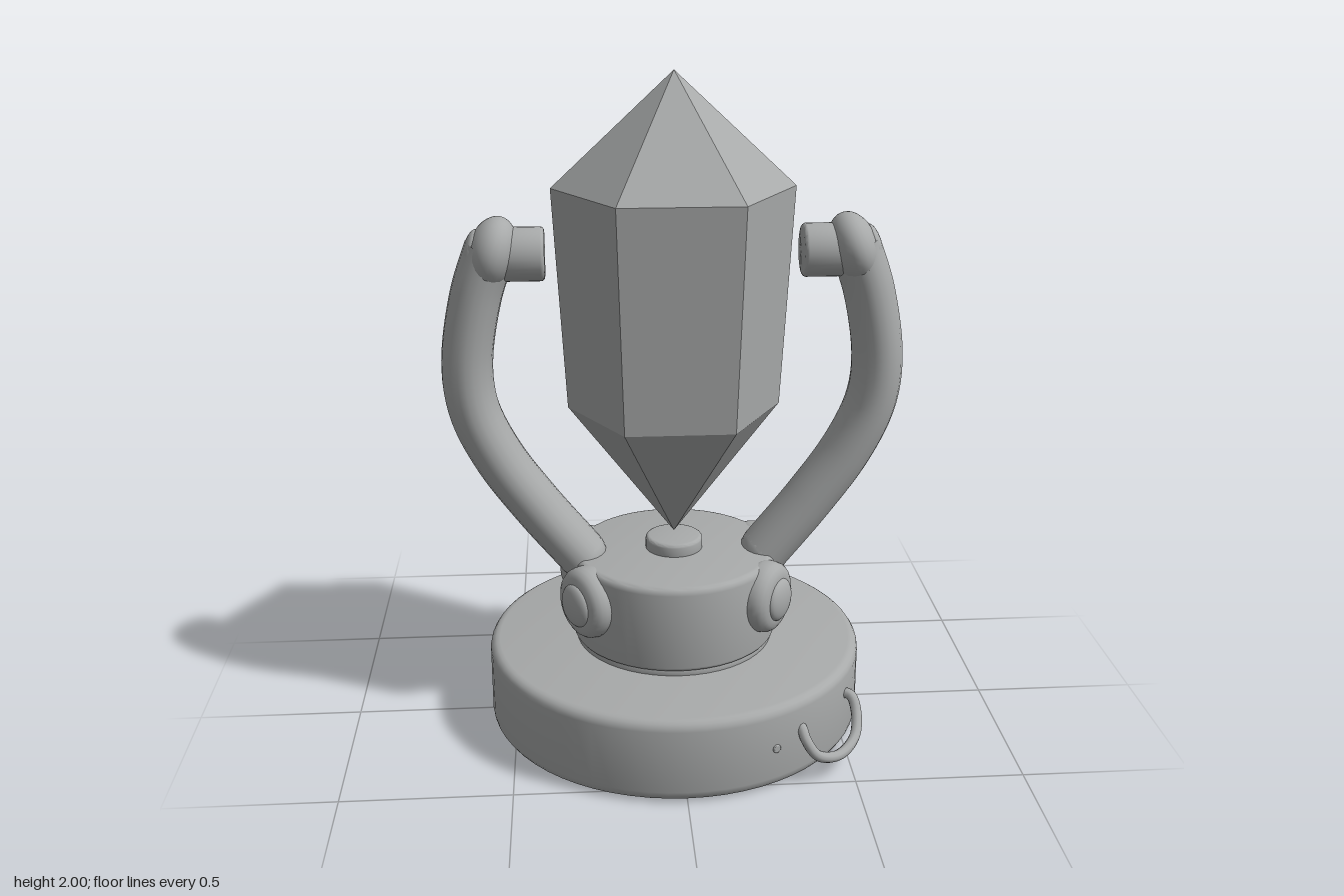
import * as THREE from 'three';
import { toCreasedNormals } from 'three/addons/utils/BufferGeometryUtils.js';

export function createModel() {
  const model = new THREE.Group();
  const grey = new THREE.MeshStandardMaterial({ color: 0xa8aaaa });
  grey.name = 'grey';

  const add = (parent, name, geometry) => {
    const mesh = new THREE.Mesh(geometry, grey);
    mesh.name = name;
    parent.add(mesh);
    return mesh;
  };

  const lathe = (points, segments = 48, crease = 0.6) => toCreasedNormals(
    new THREE.LatheGeometry(points.map(([r, y]) => new THREE.Vector2(r, y)), segments), crease);

  // Solid disc standing on y = 0 with rounded rims
  const disc = (r, h, top, bottom = top, segments = 48) => {
    const points = [[0, 0]];
    for (let i = 0; i <= 4; i++) {
      const a = (i / 4) * Math.PI / 2;
      points.push([r - bottom + bottom * Math.sin(a), bottom - bottom * Math.cos(a)]);
    }
    for (let i = 0; i <= 4; i++) {
      const a = (i / 4) * Math.PI / 2;
      points.push([r - top + top * Math.cos(a), h - top + top * Math.sin(a)]);
    }
    points.push([0, h]);
    return lathe(points, segments);
  };

  // Stacked base
  add(model, 'base', disc(0.578, 0.26, 0.03, 0.035, 64));
  add(model, 'baseSeam', disc(0.305, 0.03, 0.004)).position.y = 0.25;
  add(model, 'drum', disc(0.315, 0.27, 0.022, 0.012)).position.y = 0.277;
  add(model, 'topButton', disc(0.088, 0.05, 0.012)).position.y = 0.537;

  // Six-sided crystal with a corner on each side
  const crystal = new THREE.LatheGeometry(
    [[0, 0.6], [0.318, 1.01], [0.355, 1.67], [0, 2]].map(([r, y]) => new THREE.Vector2(r, y)),
    6, Math.PI / 2);
  add(model, 'crystal', toCreasedNormals(crystal, 0.1));

  // Rounded washer and domed bolt head, both facing +x
  const washer = disc(0.11, 0.09, 0.04, 0.03, 32).rotateZ(-Math.PI / 2);
  const bolt = new THREE.SphereGeometry(1, 24, 16).scale(0.026, 0.066, 0.066);
  const joint = (parent, name, x, y, z, turn, tilt) => {
    const group = new THREE.Group();
    group.name = name;
    add(group, 'washer', washer);
    add(group, 'bolt', bolt).position.x = 0.088;
    group.position.set(x, y, z);
    group.rotation.set(0, turn, tilt, 'YXZ');
    parent.add(group);
  };

  // Curved arms, the second turned half way round
  const armPath = new THREE.CatmullRomCurve3([
    [0.53, 1.5], [0.578, 1.36], [0.612, 1.15], [0.597, 1.01],
    [0.53, 0.86], [0.42, 0.7], [0.285, 0.53]
  ].map(([x, y]) => new THREE.Vector3(x, y, 0)));
  const armTube = new THREE.TubeGeometry(armPath, 40, 0.076, 20).scale(1, 1, 1.25);
  for (const side of [0, 1]) {
    const arm = new THREE.Group();
    arm.name = side ? 'rightArm' : 'leftArm';
    arm.rotation.y = side * Math.PI;
    add(arm, 'armTube', armTube);
    const knuckle = add(arm, 'knuckle', new THREE.SphereGeometry(1, 24, 16).scale(0.072, 0.108, 0.113));
    knuckle.position.set(0.527, 1.485, 0);
    knuckle.rotation.z = 0.3;
    const topBolt = add(arm, 'topBolt', bolt);
    topBolt.position.set(0.585, 1.49, 0);
    topBolt.rotation.z = 0.25;
    const pin = add(arm, 'crystalPin', disc(0.079, 0.13, 0.012, 0.012, 32));
    pin.position.set(0.505, 1.48, 0);
    pin.rotation.z = Math.PI / 2;
    const foot = add(arm, 'foot', new THREE.SphereGeometry(1, 20, 12).scale(0.076, 0.076, 0.095));
    foot.position.set(0.285, 0.53, 0);
    for (const s of [-1, 1]) joint(arm, 'footJoint', 0.235, 0.44, s * 0.13, -s * 0.6, 0);
    model.add(arm);
  }

  // Wire loop hanging from the base rim
  const loopPath = new THREE.CatmullRomCurve3([
    [0.47, 0.17, 0.27], [0.515, 0.17, 0.295], [0.528, 0.13, 0.33], [0.512, 0.085, 0.395],
    [0.45, 0.068, 0.465], [0.385, 0.09, 0.495], [0.352, 0.135, 0.485], [0.34, 0.165, 0.46], [0.31, 0.17, 0.42]
  ].map(p => new THREE.Vector3(...p)));
  add(model, 'wireLoop', new THREE.TubeGeometry(loopPath, 48, 0.016, 10));

  // Small round fittings on the base rim
  const fitting = (name, r, angle, y) => {
    const plate = add(model, name, disc(r, 0.025, 0.004, 0.004, 20).rotateX(Math.PI / 2));
    plate.position.set(Math.sin(angle) * 0.558, y, Math.cos(angle) * 0.558);
    plate.rotation.y = angle;
  };
  fitting('smallStud', 0.013, 0.47, 0.13);
  fitting('rearPort', 0.042, Math.PI + 0.61, 0.13);

  return model;
}
